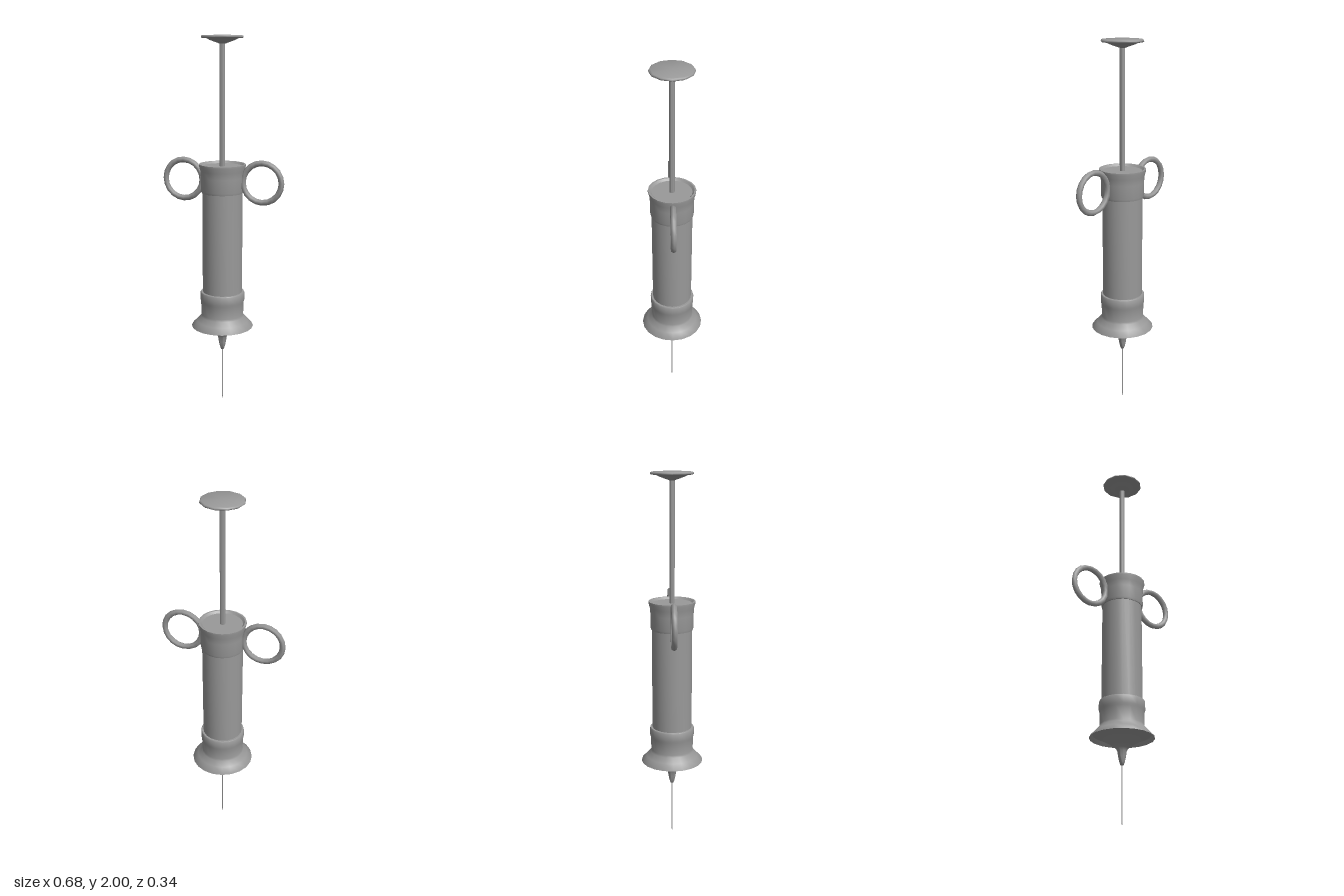
import * as THREE from 'three';
import { toCreasedNormals } from 'three/addons/utils/BufferGeometryUtils.js';

const material = new THREE.MeshStandardMaterial({ color: 0x999999, side: THREE.DoubleSide });

// Turned part from [radius, height] pairs, listed from bottom to top
function turned(name, profile, sides = 20, crease = 0.7) {
  const points = profile.map(([r, y]) => new THREE.Vector2(r, y));
  const geometry = toCreasedNormals(new THREE.LatheGeometry(points, sides), crease);
  const mesh = new THREE.Mesh(geometry, material);
  mesh.name = name;
  return mesh;
}

export function createModel() {
  const model = new THREE.Group();
  model.name = 'syringe';

  // Fine needle tapering to a point
  model.add(turned('needle', [[0, 0], [0.003, 0.03], [0.003, 0.32]], 8));

  // Nozzle sweeping out smoothly into the underside of the skirt
  model.add(turned('nozzle', [
    [0, 0.303], [0.008, 0.306], [0.014, 0.322], [0.02, 0.35], [0.024, 0.378],
    [0.032, 0.393], [0.05, 0.408], [0.08, 0.427], [0.11, 0.446], [0.15, 0.463],
  ], 20, 1));

  // Lower collar with its flared, thin-edged skirt
  model.add(turned('lowerCollar', [
    [0.15, 0.463], [0.164, 0.444], [0.168, 0.445], [0.167, 0.449], [0.14, 0.476],
    [0.118, 0.502], [0.114, 0.514], [0.117, 0.585], [0.12, 0.595],
    [0.12, 0.637], [0.117, 0.642], [0.1, 0.642],
  ]));

  // Straight barrel, closed just below the upper collar's lip
  model.add(turned('barrel', [[0.107, 0.5], [0.107, 1.329], [0, 1.329]]));

  // Upper collar with a slightly flared, shallow mouth
  model.add(turned('upperCollar', [
    [0.1, 1.188], [0.111, 1.188], [0.114, 1.2], [0.114, 1.27], [0.117, 1.305],
    [0.124, 1.33], [0.124, 1.34], [0.115, 1.34], [0.105, 1.329],
  ]));

  // Plunger rod and thumb plate with a small lip beneath
  model.add(turned('plungerRod', [[0.014, 1.3], [0.014, 1.97]], 10));
  model.add(turned('thumbPlate', [
    [0.014, 1.956], [0.03, 1.962], [0.065, 1.974], [0.095, 1.989], [0.106, 1.985],
    [0.111, 1.989], [0.109, 1.996], [0.103, 1.999], [0, 2],
  ], 12, 1.2));

  // Finger rings on both sides of the upper collar
  for (const side of [1, -1]) {
    const ring = new THREE.Mesh(new THREE.TorusGeometry(0.104, 0.0155, 6, 20), material);
    ring.position.set(side * 0.2185, 1.25, 0);
    ring.name = side > 0 ? 'leftFingerRing' : 'rightFingerRing';
    model.add(ring);
  }
  return model;
}
